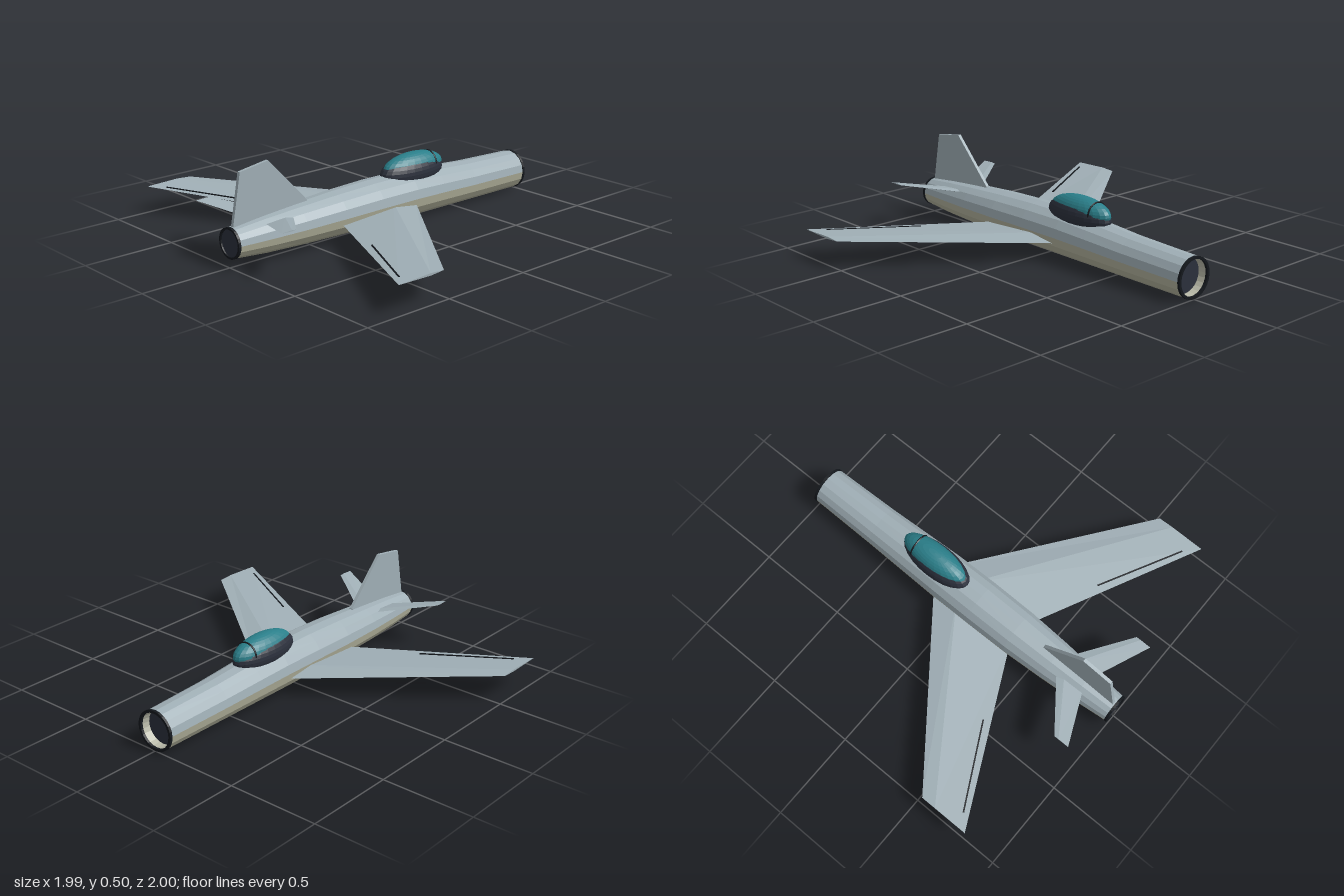
import * as THREE from 'three';

const paint = (name, color, side = THREE.FrontSide) =>
  new THREE.MeshStandardMaterial({ name, color, flatShading: true, side });

// Skin closed rings of [x, y, z] points; strips run lengthwise so they can be grouped.
function loft(rings, capped) {
  const n = rings[0].length, index = [];
  for (let j = 0; j < n; j++) {
    const k = (j + 1) % n;
    for (let i = 0; i < rings.length - 1; i++) {
      const a = i * n + j, b = i * n + k, c = b + n, d = a + n;
      index.push(a, b, c, a, c, d);
    }
  }
  if (capped) {
    const last = (rings.length - 1) * n;
    for (let j = 1; j < n - 1; j++) {
      index.push(0, j + 1, j, last, last + j, last + j + 1);
    }
  }
  const geometry = new THREE.BufferGeometry();
  geometry.setAttribute('position', new THREE.Float32BufferAttribute(rings.flat(2), 3));
  geometry.setIndex(index);
  geometry.computeVertexNormals();
  return geometry;
}

// Point on a lifting surface: u along the span, f along the chord, side = 1 top, -1 bottom.
const CREST = 0.3;
function foilPoint({ root, tip }, u, f, side) {
  const [x, y, front, back, half] = root.map((r, i) => THREE.MathUtils.lerp(r, tip[i], u));
  const rise = f < CREST ? f / CREST : (1 - f) / (1 - CREST);
  return [x, y + side * half * rise, THREE.MathUtils.lerp(front, back, f)];
}

function foilGeometry(foil, s) {
  const rings = [0, 1].map(u =>
    [[0, 1], [CREST, 1], [1, 1], [CREST, -1]].map(([f, side]) => {
      const [x, y, z] = foilPoint(foil, u, f, side);
      return [s * x, y, z];
    }));
  if (s < 0) rings.reverse();
  return loft(rings, true);
}

export function createModel() {
  const model = new THREE.Group();
  model.name = 'jetAircraft';

  const grey = paint('bluishGrey', 0xa0afb6);
  const belly = paint('bellyBeige', 0xb2b29c);
  const liner = paint('intakeLiner', 0xb8b9a8, THREE.DoubleSide);
  const navy = paint('darkNavy', 0x2b303c);
  const black = paint('black', 0x14181d);
  const glass = paint('tealGlass', 0x2a7f8a);

  const add = (name, geometry, material, x = 0, y = 0, z = 0) => {
    const mesh = new THREE.Mesh(geometry, material);
    mesh.name = name;
    mesh.position.set(x, y, z);
    model.add(mesh);
    return mesh;
  };

  // Fuselage: [z, half width, bottom, top]
  const SIDES = 16;
  const stations = [
    [-0.99, 0.106, 0.006, 0.218], [-0.6, 0.114, 0.009, 0.232], [-0.35, 0.123, 0.012, 0.25],
    [-0.15, 0.13, 0.014, 0.263], [0.1, 0.132, 0.017, 0.264], [0.35, 0.129, 0.021, 0.256],
    [0.6, 0.115, 0.027, 0.241], [0.8, 0.098, 0.035, 0.226], [0.99, 0.078, 0.05, 0.206],
  ];
  const hull = loft(stations.map(([z, w, low, high]) =>
    Array.from({ length: SIDES }, (_, j) => {
      const a = (j / SIDES) * Math.PI * 2;
      return [w * Math.cos(a), (low + high) / 2 + (high - low) / 2 * Math.sin(a), z];
    })), false);
  const halfCount = hull.index.count / 2;
  hull.addGroup(0, halfCount, 0);
  hull.addGroup(halfCount, halfCount, 1);
  add('fuselage', hull, [grey, belly]);

  // Intake and exhaust rims
  const rim = (name, y, z, inner, outer) => {
    const h = 0.007;
    const profile = [[inner, -h], [outer, -h], [outer, h], [inner, h], [inner, -h]]
      .map(p => new THREE.Vector2(...p));
    add(name, new THREE.LatheGeometry(profile, 24).rotateX(Math.PI / 2), black, 0, y, z);
  };
  rim('intakeRim', 0.112, -0.993, 0.095, 0.109);
  rim('exhaustRim', 0.128, 0.993, 0.07, 0.081);
  add('intakeLining', new THREE.CylinderGeometry(0.097, 0.09, 0.06, 24, 1, true)
    .rotateX(-Math.PI / 2), liner, 0, 0.112, -0.96);
  add('intakeFace', new THREE.CircleGeometry(0.098, 24).rotateY(Math.PI), navy, 0, 0.112, -0.945);
  add('exhaustFace', new THREE.CircleGeometry(0.075, 24), navy, 0, 0.128, 0.992);

  // Canopy: dark base ellipsoid with the glass bubble rising out of it
  const bubble = () => new THREE.SphereGeometry(1, 24, 16);
  add('canopyFrame', bubble().scale(0.09, 0.09, 0.215), navy, 0, 0.255, -0.21);
  add('canopyGlass', bubble().scale(0.078, 0.077, 0.205), glass, 0, 0.28, -0.22);
  add('canopyHoop', new THREE.TorusGeometry(0.064, 0.005, 6, 20, Math.PI), black, 0, 0.28, -0.335);

  // Wings and tailplanes: [x, y, leading z, trailing z, half thickness]
  const wing = {
    root: [0.05, 0.102, -0.19, 0.34, 0.024],
    tip: [0.995, 0.15, 0.532, 0.812, 0.006],
  };
  const tailplane = {
    root: [0.04, 0.197, 0.635, 0.81, 0.008],
    tip: [0.342, 0.253, 0.857, 0.946, 0.003],
  };
  for (const [s, label] of [[1, 'left'], [-1, 'right']]) {
    add(label + 'Wing', foilGeometry(wing, s), grey);
    add(label + 'Tailplane', foilGeometry(tailplane, s), grey);

    // Thin aileron seam on the upper surface
    const [a, b] = [[0.455, 0.885], [0.92, 0.885]].map(([u, f]) => {
      const [x, y, z] = foilPoint(wing, u, f, 1);
      return new THREE.Vector3(s * x, y + 0.001, z);
    });
    const seam = add(label + 'AileronSeam', new THREE.BoxGeometry(0.008, 0.005, a.distanceTo(b)), black);
    seam.position.copy(a).lerp(b, 0.5);
    seam.lookAt(b);
  }

  // Tail fin, drawn in (z, y) and turned upright along the body
  const outline = [[0.52, 0.2], [0.98, 0.17], [0.98, 0.2], [0.93, 0.474], [0.757, 0.5], [0.52, 0.25]];
  const fin = new THREE.ExtrudeGeometry(
    new THREE.Shape(outline.map(p => new THREE.Vector2(...p))),
    { depth: 0.018, bevelEnabled: false });
  add('tailFin', fin.translate(0, 0, -0.009).rotateY(-Math.PI / 2), grey);

  return model;
}
